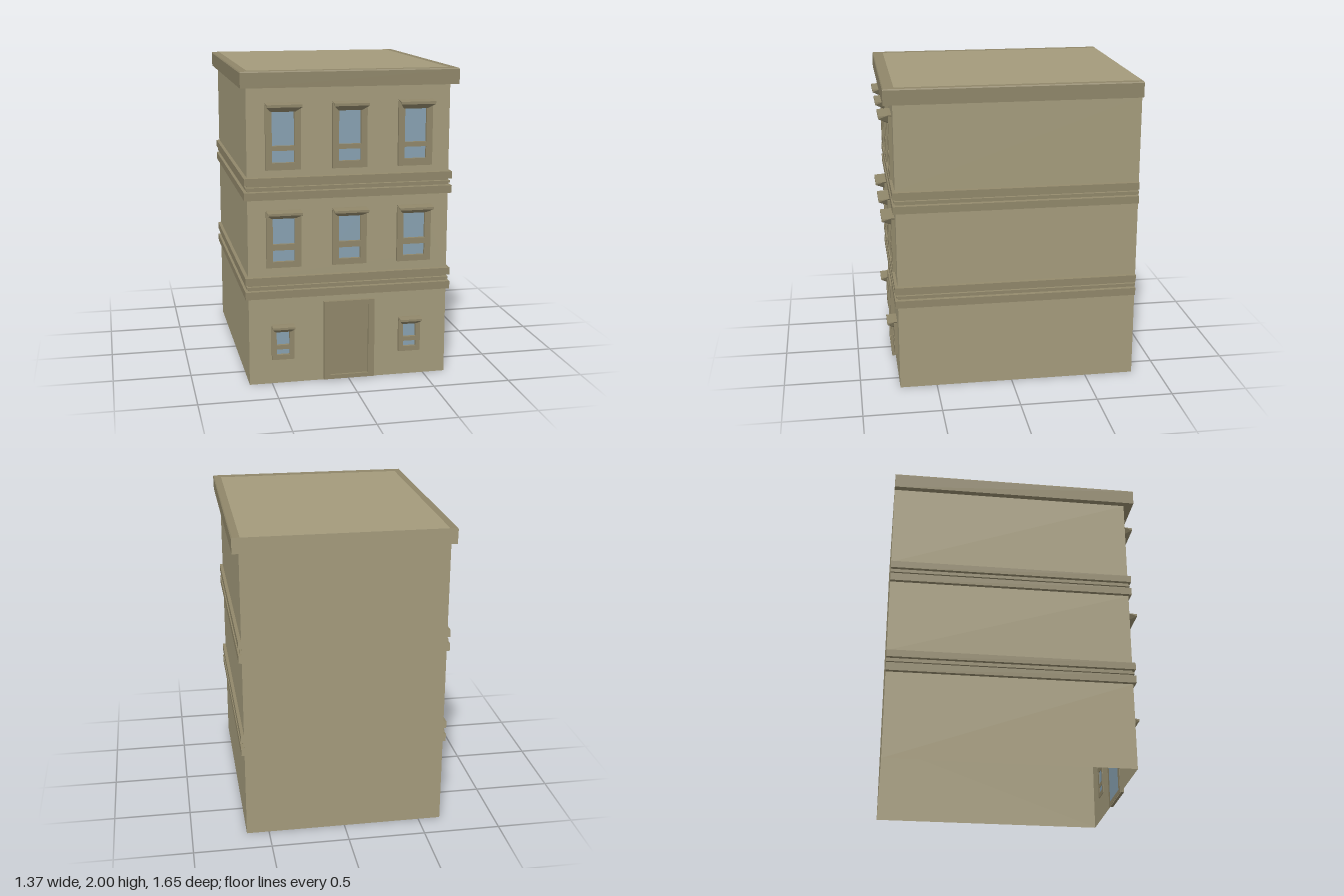
import * as THREE from 'three';

const mat = (color) => new THREE.MeshStandardMaterial({ color, side: THREE.DoubleSide, flatShading: true });
const wallMat = mat(0xa39a7b), trimMat = mat(0x8f8669), glassMat = mat(0x87a0b0);

const W = 0.645, FRONT = 0.742, BACK = -0.822;

// Wall profile from ground to roof: [side offset, front offset, y]
const band = (y, s) => [
  [0, 0, y], [0.02, 0.018, y + 0.003], [0.02, 0.018, y + 0.052 * s], [0, 0, y + 0.056 * s],
  [0, 0, y + 0.065 * s], [0.01, 0.01, y + 0.067 * s], [0.01, 0.01, y + 0.082 * s], [0, 0, y + 0.085 * s],
  [0, 0, y + 0.094 * s], [0.02, 0.018, y + 0.096 * s], [0.02, 0.018, y + 0.142 * s], [0, 0, y + 0.146 * s],
];
const profile = [
  [0, 0, 0], ...band(0.566, 1), ...band(1.2, 1),
  [0, 0, 1.9], [0.04, 0.06, 1.9], [0.042, 0.06, 1.993], [0.036, 0.055, 2],
];

function mesh(name, geometry, material, parent) {
  const m = new THREE.Mesh(geometry, material);
  m.name = name;
  parent.add(m);
  return m;
}

function rect(Type, x0, x1, y0, y1) {
  const s = new Type();
  s.moveTo(x0, y0).lineTo(x1, y0).lineTo(x1, y1).lineTo(x0, y1).closePath();
  return s;
}

// Quads from corner lists, counter-clockwise seen from outside
function quads(list) {
  const p = [];
  for (const [a, b, c, d] of list) p.push(...a, ...b, ...c, ...a, ...c, ...d);
  const g = new THREE.BufferGeometry();
  g.setAttribute('position', new THREE.Float32BufferAttribute(p, 3));
  g.computeVertexNormals();
  return g;
}

// Plan outline at one profile level: left back, left front, right front, right back
const ring = ([ox, oz, y]) => [
  [W + ox, y, BACK], [W + ox, y, FRONT + oz], [-W - ox, y, FRONT + oz], [-W - ox, y, BACK],
];

// Window frame with two panes and a sloping hood
function addWindow(parent, o) {
  const g = new THREE.Group();
  g.name = 'window';
  const { x, hw, iw, y, d } = o;
  const [bottom, low0, low1, up0, up1, top] = y;
  const frame = rect(THREE.Shape, -hw, hw, bottom, top - 0.008);
  frame.holes.push(rect(THREE.Path, -iw, iw, low0, low1), rect(THREE.Path, -iw, iw, up0, up1));
  const fg = new THREE.ExtrudeGeometry(frame, { depth: 0.025, bevelEnabled: false });
  fg.translate(0, 0, FRONT - 0.004);
  mesh('windowFrame', fg, trimMat, g);

  for (const [a, b] of [[low0, low1], [up0, up1]]) {
    const pane = mesh('glassPane', new THREE.PlaneGeometry(iw * 2, b - a), glassMat, g);
    pane.position.set(0, (a + b) / 2, FRONT);
  }

  // Hood: side profile extruded across, narrowing towards the underside
  const h = top - up1;
  const s = new THREE.Shape();
  s.moveTo(0, 0).lineTo(0.025, 0).lineTo(d, h * 0.6).lineTo(d, h * 0.9).lineTo(0.02, h).lineTo(0, h).closePath();
  const hood = new THREE.ExtrudeGeometry(s, { depth: 2, bevelEnabled: false });
  hood.translate(0, 0, -1);
  hood.rotateY(-Math.PI / 2);
  const p = hood.attributes.position;
  for (let i = 0; i < p.count; i++) {
    const t = Math.min(1, p.getY(i) / (h * 0.6));
    p.setX(i, p.getX(i) * (iw + 0.005 + (hw - iw - 0.005) * t));
  }
  hood.computeVertexNormals();
  hood.translate(0, up1, FRONT);
  mesh('windowHood', hood, trimMat, g);
  g.position.x = x;
  parent.add(g);
}

export function createModel() {
  const model = new THREE.Group();
  model.name = 'building';

  const windows = [];
  for (const x of [-0.42, 0, 0.42]) {
    windows.push({ x, hw: 0.11, iw: 0.07, d: 0.082, y: [1.39, 1.435, 1.51, 1.54, 1.75, 1.805] });
    windows.push({ x, hw: 0.11, iw: 0.07, d: 0.082, y: [0.77, 0.808, 0.882, 0.92, 1.085, 1.135] });
  }
  for (const x of [-0.43, 0.4]) {
    windows.push({ x, hw: 0.072, iw: 0.042, d: 0.065, y: [0.163, 0.195, 0.232, 0.26, 0.348, 0.393] });
  }

  // Sides and mouldings; plain front storeys are cut separately for the openings
  const wallQuads = [], trimQuads = [];
  for (let i = 0; i < profile.length - 1; i++) {
    const a = ring(profile[i]), b = ring(profile[i + 1]);
    const y0 = profile[i][2], y1 = profile[i + 1][2];
    const storey = y1 - y0 > 0.3;
    for (let k = 0; k < 3; k++) {
      if (storey && k === 1) continue;
      (storey ? wallQuads : trimQuads).push([a[k + 1], a[k], b[k], b[k + 1]]);
    }
    if (!storey) continue;
    const wall = rect(THREE.Shape, -W, W, y0, y1);
    for (const w of windows) {
      if (w.y[0] > y0 && w.y[5] < y1) wall.holes.push(rect(THREE.Path, w.x - w.iw, w.x + w.iw, w.y[1], w.y[4]));
    }
    if (y0 === 0) wall.holes.push(rect(THREE.Path, -0.125, 0.125, 0.035, 0.5));
    mesh('frontWall', new THREE.ShapeGeometry(wall), wallMat, model).position.z = FRONT;
  }
  mesh('sideWalls', quads(wallQuads), wallMat, model);
  mesh('mouldings', quads(trimQuads), trimMat, model);

  // Flat back wall following the profile silhouette
  const outline = [
    ...profile.map(([ox, , y]) => new THREE.Vector2(W + ox, y)),
    ...profile.map(([ox, , y]) => new THREE.Vector2(-W - ox, y)).reverse(),
  ];
  const back = new THREE.ShapeGeometry(new THREE.Shape(outline));
  back.rotateY(Math.PI);
  mesh('backWall', back, wallMat, model).position.z = BACK;

  // Roof with a darker border on the front and sides
  const outer = ring(profile[profile.length - 1]);
  const inner = ring([-0.01, -0.012, 2]);
  mesh('roof', quads([[inner[3], inner[2], inner[1], inner[0]]]), wallMat, model);
  mesh('roofBorder', quads([0, 1, 2].map((k) => [outer[k + 1], outer[k], inner[k], inner[k + 1]])), trimMat, model);

  for (const w of windows) addWindow(model, w);

  // Door
  const door = new THREE.Group();
  door.name = 'door';
  const frame = rect(THREE.Shape, -0.165, 0.165, 0.008, 0.53);
  frame.holes.push(rect(THREE.Path, -0.125, 0.125, 0.035, 0.5));
  const fg = new THREE.ExtrudeGeometry(frame, { depth: 0.027, bevelEnabled: false });
  mesh('doorFrame', fg, trimMat, door).position.z = FRONT - 0.002;
  const leaf = mesh('doorLeaf', new THREE.BoxGeometry(0.25, 0.465, 0.006), trimMat, door);
  leaf.position.set(0, 0.2675, FRONT + 0.005);
  const lining = mesh('doorInnerPane', new THREE.PlaneGeometry(0.25, 0.465), glassMat, door);
  lining.position.set(0, 0.2675, FRONT - 0.003);
  model.add(door);

  return model;
}
